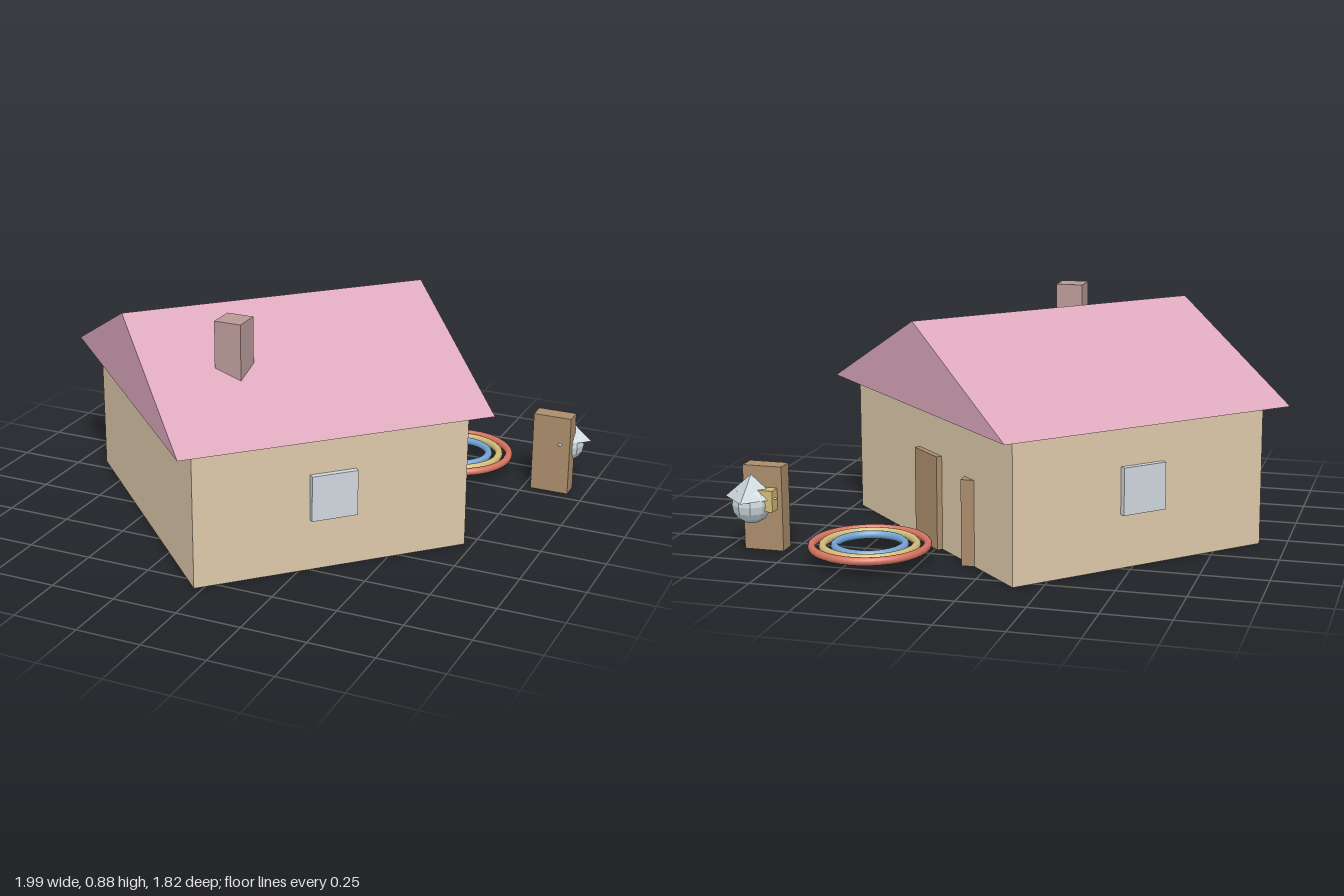
import * as THREE from 'three';

const mat = (name, color, flatShading = false) => {
  const m = new THREE.MeshStandardMaterial({ color, flatShading });
  m.name = name;
  return m;
};

export function createModel() {
  const wall = mat('beige wall', 0xdec9ab);
  const pink = mat('pink roof', 0xdca8bc);
  const wood = mat('brown wood', 0xab8d6c);
  const glass = mat('pale glass', 0xd0d8de);
  const brick = mat('dusty brick', 0xb89a98);
  const red = mat('red', 0xd4735f);
  const yellow = mat('yellow', 0xd2ba78);
  const blue = mat('blue', 0x74a3d2);
  const silver = mat('silver', 0xc8d4d8, true);

  const model = new THREE.Group();
  const add = (parent, name, geometry, material, x, y, z) => {
    const mesh = new THREE.Mesh(geometry, material);
    mesh.name = name;
    mesh.position.set(x, y, z);
    parent.add(mesh);
    return mesh;
  };
  const box = (parent, name, material, w, h, d, x, y, z) =>
    add(parent, name, new THREE.BoxGeometry(w, h, d), material, x, y, z);

  // House, turned 45 degrees; its ridge runs along local x
  const house = new THREE.Group();
  house.name = 'house';
  house.position.set(-0.09, 0, 0);
  house.rotation.y = Math.PI / 4;
  model.add(house);
  box(house, 'walls', wall, 1.06, 0.53, 1.23, 0, 0.265, 0);

  // Solid gabled roof
  const gable = new THREE.Shape([
    new THREE.Vector2(-0.686, 0), new THREE.Vector2(0.686, 0), new THREE.Vector2(0, 0.318)]);
  const roofGeo = new THREE.ExtrudeGeometry(gable, { depth: 1.2, bevelEnabled: false });
  roofGeo.translate(0, 0, -0.6).rotateY(Math.PI / 2);
  add(house, 'roof', roofGeo, pink, 0, 0.531, 0);

  // Door in the gable wall and a window in each long wall
  box(house, 'frontDoor', wood, 0.04, 0.355, 0.177, 0.532, 0.1775, 0);
  for (const side of [-1, 1])
    box(house, side > 0 ? 'frontWindow' : 'backWindow', glass, 0.177, 0.175, 0.04, 0, 0.2875, side * 0.617);

  // Chimney, square to the world axes
  box(model, 'chimney', brick, 0.105, 0.3, 0.105, -0.062, 0.735, 0.405);

  // Two wooden posts, one half sunk in the house wall
  box(model, 'sunkenPost', wood, 0.152, 0.32, 0.07, 0.02, 0.16, -0.578);
  box(model, 'freePost', wood, 0.152, 0.32, 0.07, 0.858, 0.16, -0.578);

  // Three concentric floating rings
  const rings = new THREE.Group();
  rings.name = 'rings';
  rings.position.set(0.435, 0.06, -0.635);
  model.add(rings);
  [['outerRing', 0.21, red], ['middleRing', 0.17, yellow], ['innerRing', 0.127, blue]].forEach(([name, r, m]) => {
    add(rings, name, new THREE.TorusGeometry(r, 0.015, 10, 48), m, 0, 0, 0).rotation.x = Math.PI / 2;
  });

  // Ornament behind the free post: ball, four-sided cap and a small block
  const ornament = new THREE.Group();
  ornament.name = 'ornament';
  ornament.position.set(0.892, 0, -0.635);
  model.add(ornament);
  add(ornament, 'ball', new THREE.SphereGeometry(0.074, 10, 8), silver, 0, 0.182, 0);
  add(ornament, 'cap', new THREE.ConeGeometry(0.103, 0.088, 4), silver, 0, 0.248, 0);
  box(ornament, 'smallBlock', yellow, 0.06, 0.08, 0.05, -0.062, 0.2, -0.002);

  return model;
}
